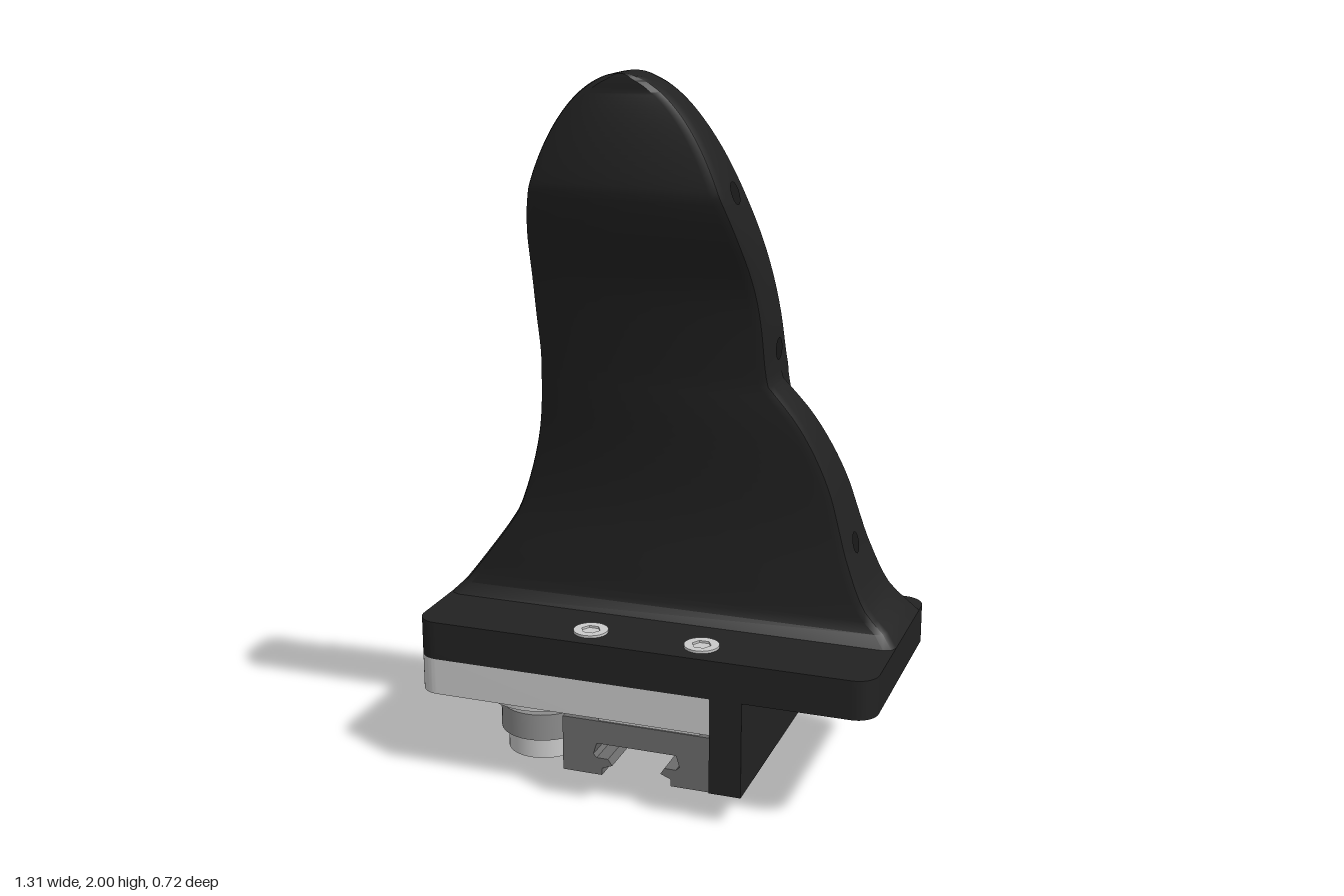
import * as THREE from 'three';
import { toCreasedNormals } from 'three/addons/utils/BufferGeometryUtils.js';

const mat = (name, color) => Object.assign(new THREE.MeshStandardMaterial({ color }), { name });

// Smooth lookup table: [y, value] pairs with rising y
function table(pairs) {
  const pts = new THREE.SplineCurve(pairs.map(p => new THREE.Vector2(...p))).getPoints(200);
  return y => {
    if (y <= pts[0].x) return pts[0].y;
    for (let i = 1; i < pts.length; i++) {
      if (y <= pts[i].x) {
        const a = pts[i - 1], b = pts[i];
        return a.y + (b.y - a.y) * (y - a.x) / Math.max(b.x - a.x, 1e-6);
      }
    }
    return pts[pts.length - 1].y;
  };
}

const BASE = 0.475, TOP = 2;
const front = table([[0.475, 0.06], [0.49, 0.04], [0.52, 0.03], [0.6, 0.038], [0.86, 0.07], [1.13, 0.13],
  [1.42, 0.21], [1.6, 0.305], [1.68, 0.345], [1.74, 0.36], [1.98, 0.36], [2, 0.35]]);
const back = table([[0.475, -0.335], [0.8, -0.215], [1.18, -0.075], [1.37, 0], [1.54, 0.075],
  [1.7, 0.15], [1.86, 0.205], [1.98, 0.232], [2, 0.245]]);
const leftLow = table([[0.475, 0.655], [0.5, 0.63], [0.7, 0.475], [0.8, 0.42], [1, 0.355], [1.2, 0.325], [1.3, 0.32]]);
const rightLow = table([[0.475, 0.655], [0.5, 0.63], [0.57, 0.57], [0.7, 0.525], [0.8, 0.502], [0.9, 0.48],
  [1, 0.445], [1.1, 0.395], [1.2, 0.322]]);
const panelHalf = table([[0.475, 0.26], [0.8, 0.225], [1.2, 0.21], [1.55, 0.205], [1.7, 0.175], [1.8, 0.12], [1.85, 0.07], [1.88, 0]]);

const leftEdge = y => y > 1.3 ? 0.32 * Math.sqrt(Math.max(0, 1 - ((y - 1.3) / 0.7) ** 2)) : leftLow(y);
const rightEdge = y => y > 1.2 ? leftEdge(y) : rightLow(y);

// One horizontal slice of the guard: flat front, side flange, rim and hollow back
function slice(y) {
  const L = -leftEdge(y), R = rightEdge(y), f = front(y), b = back(y);
  const t = THREE.MathUtils.clamp((1.2 - y) / 0.725, 0, 1);
  const ridge = t > 0 ? Math.min(R, 0.322 + 0.23 * t ** 1.7) : R;
  const r = Math.min(0.03, -L * 0.5), k = r * 0.3;
  const g = THREE.MathUtils.clamp(-0.26 + 0.397 * (y - BASE), b + r, f - r);
  const w = panelHalf(y), p = y >= 1.88 ? b : Math.max(b, f - 0.125);
  const ri = Math.max(w, ridge - 0.05 - 0.09 * t), li = Math.min(-w, L + 0.05 + 0.065 * t);
  const m = (b + p) / 2;
  return [[L + r, f], [R - r, f], [R - k, f - k], [R, f - r], [R, g], [ridge, g], [ridge, b + r],
    [ridge - k, b + k], [ridge - r, b], [ri, b], [(ri + 3 * w) / 4, m], [w, p], [-w, p], [(li - 3 * w) / 4, m],
    [li, b], [L + r, b], [L + k, b + k], [L, b + r], [L, f - r], [L + k, f - k]];
}

function guardGeometry() {
  const rows = 80, pos = [], idx = [];
  let n = 0;
  for (let j = 0; j <= rows; j++) {
    const y = BASE + (TOP - BASE) * Math.sin(j / rows * Math.PI / 2);
    const s = slice(y);
    n = s.length;
    s.forEach(([x, z]) => pos.push(x, y, z));
  }
  for (let j = 0; j < rows; j++) {
    for (let i = 0; i < n; i++) {
      const a = j * n + i, b = j * n + (i + 1) % n;
      idx.push(a, b, b + n, a, b + n, a + n);
    }
  }
  const geo = new THREE.BufferGeometry();
  geo.setAttribute('position', new THREE.Float32BufferAttribute(pos, 3));
  geo.setIndex(idx);
  return toCreasedNormals(geo, 0.6);
}

// Horizontal slab with separate corner radii on its left and right ends
function slab(x0, x1, z0, z1, y0, y1, rNeg, rPos) {
  const s = new THREE.Shape(), a = -z1, b = -z0;
  s.moveTo(x0 + rNeg, a).lineTo(x1 - rPos, a);
  if (rPos) s.absarc(x1 - rPos, a + rPos, rPos, -Math.PI / 2, 0);
  s.lineTo(x1, b - rPos);
  if (rPos) s.absarc(x1 - rPos, b - rPos, rPos, 0, Math.PI / 2);
  s.lineTo(x0 + rNeg, b);
  if (rNeg) s.absarc(x0 + rNeg, b - rNeg, rNeg, Math.PI / 2, Math.PI);
  s.lineTo(x0, a + rNeg);
  if (rNeg) s.absarc(x0 + rNeg, a + rNeg, rNeg, Math.PI, Math.PI * 1.5);
  const geo = new THREE.ExtrudeGeometry(s, { depth: y1 - y0, bevelEnabled: false, curveSegments: 8 });
  return toCreasedNormals(geo.rotateX(-Math.PI / 2).translate(0, y0, 0), 0.6);
}

function box(x0, x1, y0, y1, z0, z1) {
  return new THREE.BoxGeometry(x1 - x0, y1 - y0, z1 - z0).translate((x0 + x1) / 2, (y0 + y1) / 2, (z0 + z1) / 2);
}

export function createModel() {
  const model = new THREE.Group();
  const black = mat('black plastic', 0x222222);
  const hole = mat('hole black', 0x181818);
  const silver = mat('silver metal', 0xcacaca);
  const steel = mat('dark steel', 0x6c6c6c);
  const grip = mat('grey knob', 0x8c8c8c);
  const add = (name, geo, material, parent = model) => {
    const mesh = new THREE.Mesh(geo, material);
    mesh.name = name;
    parent.add(mesh);
    return mesh;
  };

  // Curved guard on its base
  add('guard', guardGeometry(), black);
  add('basePlate', slab(-0.655, 0.655, -0.355, 0.28, 0.365, 0.475, 0.06, 0.06), black);
  add('sideBlock', box(0.21, 0.3, 0.09, 0.366, -0.355, 0.28), black);

  // Small holes along both edges of the guard
  for (const [y, z] of [[1.71, 0.26], [1.28, 0.06], [0.735, -0.04]]) {
    for (const side of [-1, 1]) {
      const edge = side > 0 ? rightEdge : leftEdge;
      const normal = new THREE.Vector3(side, -(edge(y + 0.02) - edge(y - 0.02)) / 0.04, 0).normalize();
      const disc = add('edgeHole', new THREE.CircleGeometry(0.03, 24), hole);
      disc.position.set(side * edge(y), y, z).addScaledVector(normal, 0.003);
      disc.quaternion.setFromUnitVectors(new THREE.Vector3(0, 0, 1), normal);
    }
  }

  // Socket screws
  const head = new THREE.Shape().absarc(0, 0, 0.048, 0, Math.PI * 2);
  const socket = new THREE.Path();
  for (let i = 0; i <= 6; i++) {
    const a = -i * Math.PI / 3, x = 0.027 * Math.cos(a), y = 0.027 * Math.sin(a);
    i ? socket.lineTo(x, y) : socket.moveTo(x, y);
  }
  head.holes.push(socket);
  const headGeo = new THREE.ExtrudeGeometry(head, { depth: 0.008, bevelEnabled: false, curveSegments: 24 }).rotateX(-Math.PI / 2);
  const floorGeo = new THREE.CircleGeometry(0.04, 24).rotateX(-Math.PI / 2);
  for (const x of [-0.16, 0.16]) {
    for (const z of [-0.27, 0.195]) {
      const screw = new THREE.Group();
      screw.name = 'screw';
      screw.position.set(x, 0.474, z);
      add('screwHead', headGeo, silver, screw);
      add('screwSocket', floorGeo, silver, screw).position.y = 0.002;
      model.add(screw);
    }
  }

  // Metal plate under the base
  add('metalPlate', slab(-0.655, 0.21, -0.355, 0.28, 0.26, 0.365, 0.06, 0), silver);
  add('spacer', box(-0.11, 0.18, 0.249, 0.261, -0.35, 0.27), silver);

  // Rail clamp with a hooked slot
  const half = [[0.1, 0.09], [0.1, 0.11], [0.07, 0.122], [0.082, 0.14], [0.115, 0.14], [0.125, 0.15], [0.115, 0.183]];
  const outline = [[-0.215, 0.25], [-0.215, 0.09], ...half.map(([x, y]) => [-x, y]), ...half.slice().reverse(),
    [0.21, 0.09], [0.21, 0.25]];
  const clamp = new THREE.Shape(outline.map(p => new THREE.Vector2(...p)));
  add('railClamp', new THREE.ExtrudeGeometry(clamp, { depth: 0.635, bevelEnabled: false }).translate(0, 0, -0.36), steel);

  // Clamping knob
  const knob = new THREE.Group();
  knob.name = 'knob';
  knob.position.set(-0.403, 0, -0.035);
  model.add(knob);
  const stack = [['knobEnd', 0.107, 0, 0.066, silver], ['knobGrip', 0.127, 0.065, 0.145, grip],
    ['knobNeck', 0.095, 0.144, 0.176, silver], ['knobCollar', 0.168, 0.175, 0.261, silver]];
  for (const [name, r, y0, y1, m] of stack) {
    add(name, new THREE.CylinderGeometry(r, r, y1 - y0, 40).translate(0, (y0 + y1) / 2, 0), m, knob);
  }
  add('knobHole', new THREE.CircleGeometry(0.022, 20).rotateX(Math.PI / 2).translate(0, -0.001, 0), hole, knob);
  add('clampLink', box(-0.34, -0.2, 0.212, 0.235, -0.12, 0.15), steel);
  return model;
}
